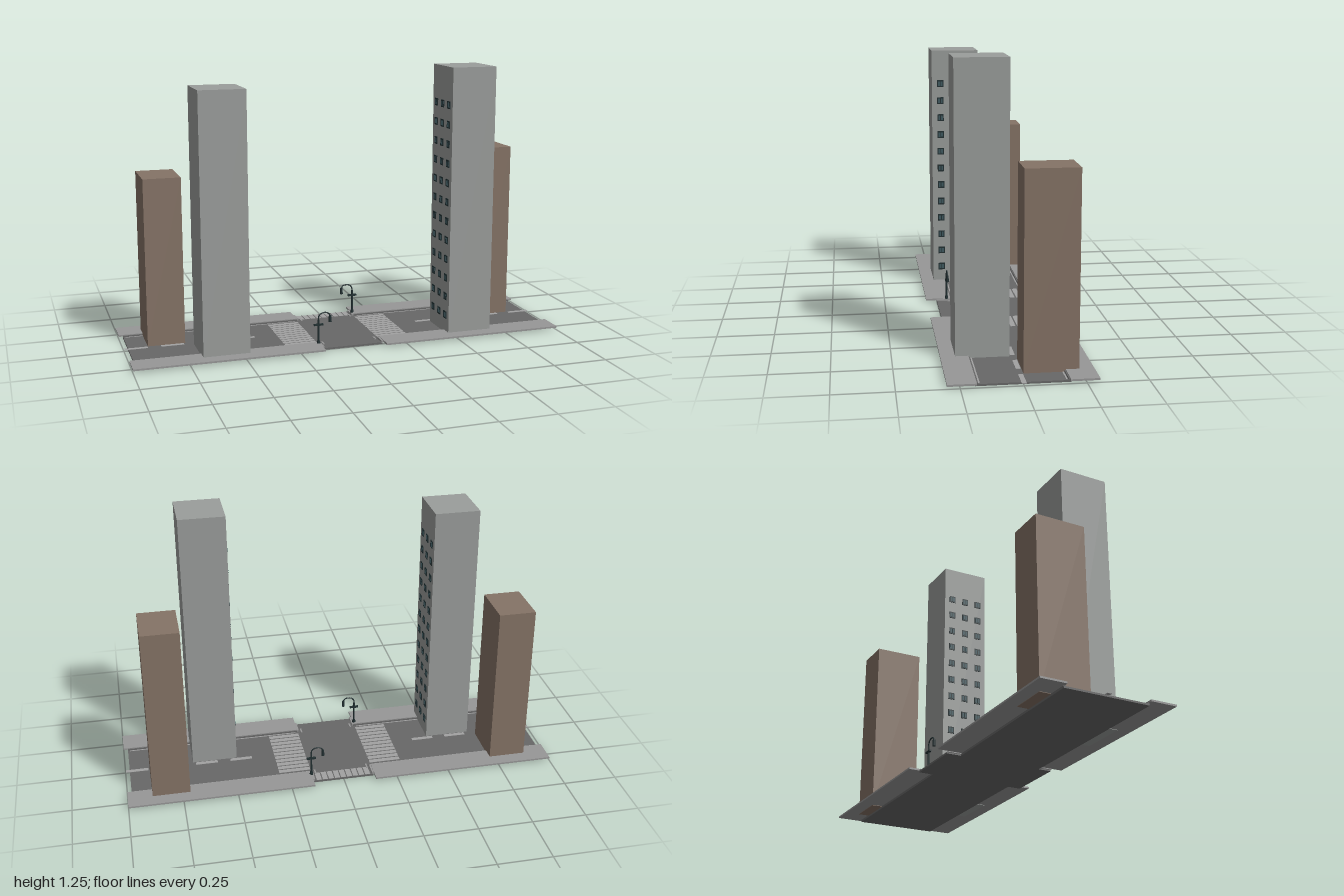
import * as THREE from 'three';

const mat = (name, color) => {
  const m = new THREE.MeshStandardMaterial({ color });
  m.name = name;
  return m;
};

export function createModel() {
  const root = new THREE.Group();
  root.name = 'streetCrossing';
  const asphalt = mat('asphalt', 0x686868);
  const pavement = mat('pavement', 0x979797);
  const paint = mat('roadPaint', 0xa2a2a2);
  const concrete = mat('concrete', 0x9a9d9b);
  const brick = mat('brownWall', 0x857366);
  const glass = mat('windowGlass', 0x3f5a60);
  const dark = mat('darkMetal', 0x223032);

  // Box given by its limits on each axis
  const box = (parent, name, m, x0, x1, y0, y1, z0, z1) => {
    const mesh = new THREE.Mesh(new THREE.BoxGeometry(x1 - x0, y1 - y0, z1 - z0), m);
    mesh.position.set((x0 + x1) / 2, (y0 + y1) / 2, (z0 + z1) / 2);
    mesh.name = name;
    parent.add(mesh);
    return mesh;
  };

  // Road and the wider middle of the crossing
  const top = 0.008;
  box(root, 'road', asphalt, -0.98, 0.98, 0, top, -0.19, 0.19);
  box(root, 'crossingBack', asphalt, -0.14, 0.14, 0, top, -0.255, -0.19);
  box(root, 'crossingFront', asphalt, -0.14, 0.14, 0, top, 0.19, 0.25);

  // Sidewalks with kerbs, edge lines and rounded kerb ends
  for (const sx of [-1, 1]) {
    for (const sz of [-1, 1]) {
      const span = (name, m, a, b, y0, y1, c, d) => box(root, name, m,
        Math.min(sx * a, sx * b), Math.max(sx * a, sx * b), y0, y1,
        Math.min(sz * c, sz * d), Math.max(sz * c, sz * d));
      span('sidewalk', pavement, 0.145, 1, 0.010, 0.018, 0.185, 0.302);
      span('kerb', asphalt, 0.145, 0.98, 0.006, 0.014, 0.18, 0.19);
      span('edgeLine', paint, 0.155, 0.97, top, top + 0.001, 0.171, 0.177);
      span('sideKerb', pavement, 0.136, 0.146, 0.006, 0.016, 0.185, 0.252);
      span('kerbEnd', pavement, 0.12, 0.128, top, 0.012, 0.17, 0.2);
    }

    // Striped crossings over the road
    const inner = sx < 0 ? -0.295 : 0.142;
    for (let i = 0; i < 11; i++) {
      const z = -0.148 + i * 0.03;
      box(root, 'crossingStripe', paint, inner, inner + 0.148, top, top + 0.001, z - 0.0115, z + 0.0115);
    }

    // Lane dashes
    for (let i = 0; i < 4; i++) {
      const x = sx * (0.45 + i * 0.165);
      box(root, 'laneDash', paint, x - 0.052, x + 0.052, top, top + 0.001, -0.011, 0.009);
    }
  }

  // Striped crossing at the back
  for (let i = 0; i < 9; i++) {
    const x = -0.116 + i * 0.029;
    box(root, 'backStripe', paint, x - 0.012, x + 0.012, top, top + 0.001, -0.252, -0.192);
  }

  // Towers; the grey ones have windows facing the crossing
  const tower = (name, m, x0, x1, h, z0, z1, windowSide) => {
    const g = new THREE.Group();
    g.name = name;
    box(g, 'walls', m, x0, x1, 0.008, h, z0, z1);
    if (windowSide) {
      const x = windowSide > 0 ? x1 : x0;
      for (let row = 0; row < 12; row++) {
        for (let col = -1; col <= 1; col++) {
          const y = h * (0.076 + row * 0.0715);
          const z = (z0 + z1) / 2 + col * 0.072;
          const frame = box(g, 'windowFrame', dark, x - 0.003, x + 0.003, y - 0.017, y + 0.017, z - 0.016, z + 0.016);
          const pane = new THREE.Mesh(new THREE.BoxGeometry(0.002, 0.022, 0.009), glass);
          pane.name = 'windowPane';
          for (const s of [-1, 1]) {
            const p = pane.clone();
            p.position.set(windowSide * 0.003, 0, s * 0.0065);
            frame.add(p);
          }
        }
      }
    }
    root.add(g);
  };
  tower('leftGreyTower', concrete, -0.685, -0.475, 1.185, 0.013, 0.24, 1);
  tower('rightGreyTower', concrete, 0.47, 0.68, 1.25, 0.013, 0.24, -1);
  tower('leftBrownTower', brick, -0.89, -0.72, 0.775, -0.24, -0.014, 0);
  tower('rightBrownTower', brick, 0.715, 0.887, 0.838, -0.24, -0.014, 0);

  // Street lamp with a curved arm reaching along +x
  const lamp = (x, z, turn) => {
    const g = new THREE.Group();
    g.name = 'streetLamp';
    const pole = (name, r0, r1, y0, y1, px = 0) => {
      const mesh = new THREE.Mesh(new THREE.CylinderGeometry(r1, r0, y1 - y0, 10), dark);
      mesh.position.set(px, (y0 + y1) / 2, 0);
      mesh.name = name;
      g.add(mesh);
    };
    pole('base', 0.009, 0.007, 0.012, 0.03);
    pole('post', 0.0045, 0.004, 0.02, 0.13);
    box(g, 'crossbar', dark, -0.021, 0.021, 0.101, 0.109, -0.005, 0.005);
    const arm = new THREE.CatmullRomCurve3([
      [0, 0.125], [0.002, 0.145], [0.014, 0.157], [0.034, 0.16], [0.05, 0.153], [0.054, 0.14],
    ].map(([a, b]) => new THREE.Vector3(a, b, 0)));
    const tube = new THREE.Mesh(new THREE.TubeGeometry(arm, 20, 0.003, 8), dark);
    tube.name = 'arm';
    g.add(tube);
    pole('lampHead', 0.0075, 0.006, 0.115, 0.144, 0.055);
    g.position.set(x, 0, z);
    g.rotation.y = turn;
    root.add(g);
  };
  lamp(-0.15, 0.203, 0);
  lamp(0.146, -0.21, Math.PI);

  return root;
}
